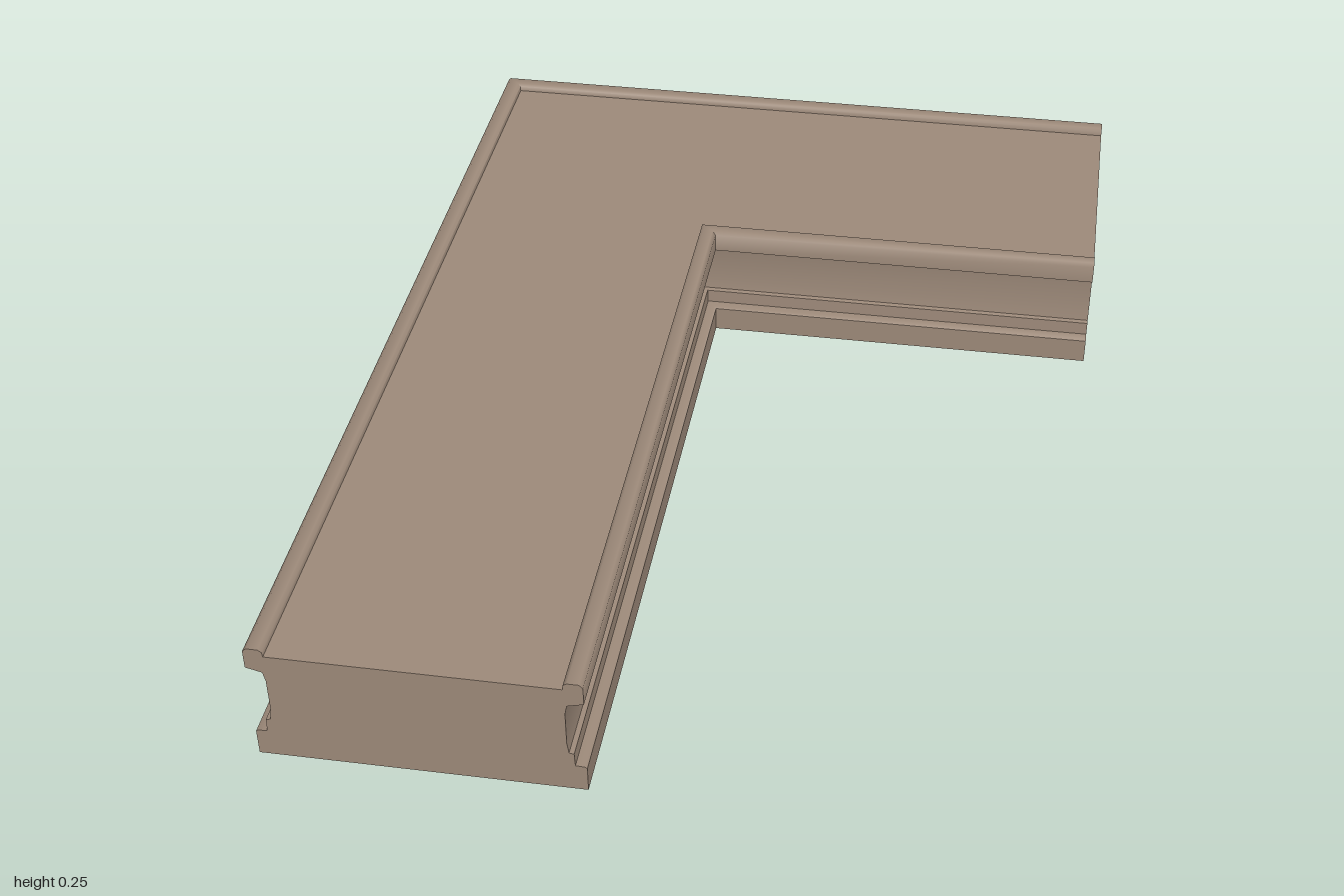
import * as THREE from 'three';
import { toCreasedNormals } from 'three/addons/utils/BufferGeometryUtils.js';

const LEFT = -0.705, RIGHT = 0.705, BACK = -1, FRONT = 1, WIDTH = 0.597;

// Moulding section from the floor up to the top panel: [inset, height]
const section = [
  [0, 0], [0, 0.053], [0.004, 0.056], [0.021, 0.057], [0.022, 0.085], [0.031, 0.087],
  [0.034, 0.11], [0.034, 0.18], [0.03, 0.2], [0.012, 0.205], [0, 0.208],
  [0, 0.246], [0.007, 0.253], [0.028, 0.253], [0.035, 0.248], [0.036, 0.238],
];
const mirrored = section.map(([d, y]) => [WIDTH - d, y]).reverse();

// Sweeps a section from the front end, through the mitred corner, to the right end
function sweep(profile) {
  const stations = [
    (d, y) => [LEFT + d, y, FRONT],
    (d, y) => [LEFT + d, y, BACK + d],
    (d, y) => [RIGHT, y, BACK + d],
  ];
  const pos = [];
  for (let s = 0; s < 2; s++) {
    for (let i = 0; i < profile.length - 1; i++) {
      const a = stations[s](...profile[i]), b = stations[s](...profile[i + 1]);
      const c = stations[s + 1](...profile[i]), d = stations[s + 1](...profile[i + 1]);
      pos.push(...a, ...b, ...c, ...b, ...d, ...c);
    }
  }
  const geo = new THREE.BufferGeometry();
  geo.setAttribute('position', new THREE.Float32BufferAttribute(pos, 3));
  return toCreasedNormals(geo, 0.9);
}

export function createModel() {
  const group = new THREE.Group();
  const stone = new THREE.MeshStandardMaterial({ color: 0x9c8979, side: THREE.DoubleSide });
  stone.name = 'warm stone';
  const add = (name, geo) => {
    const mesh = new THREE.Mesh(geo, stone);
    mesh.name = name;
    group.add(mesh);
    return mesh;
  };

  // Mouldings and sunken top; the underside stays open
  add('outerMoulding', sweep(section));
  add('innerMoulding', sweep(mirrored));
  add('topPanel', sweep([section.at(-1), mirrored[0]]));

  // End faces closing both legs
  const outline = new THREE.Shape([...section, ...mirrored].map(([d, y]) => new THREE.Vector2(d, y)));
  add('frontEnd', new THREE.ShapeGeometry(outline)).position.set(LEFT, 0, FRONT);
  const rightEnd = add('rightEnd', new THREE.ShapeGeometry(outline));
  rightEnd.rotation.y = Math.PI / 2;
  rightEnd.position.set(RIGHT, 0, BACK + WIDTH);

  return group;
}
